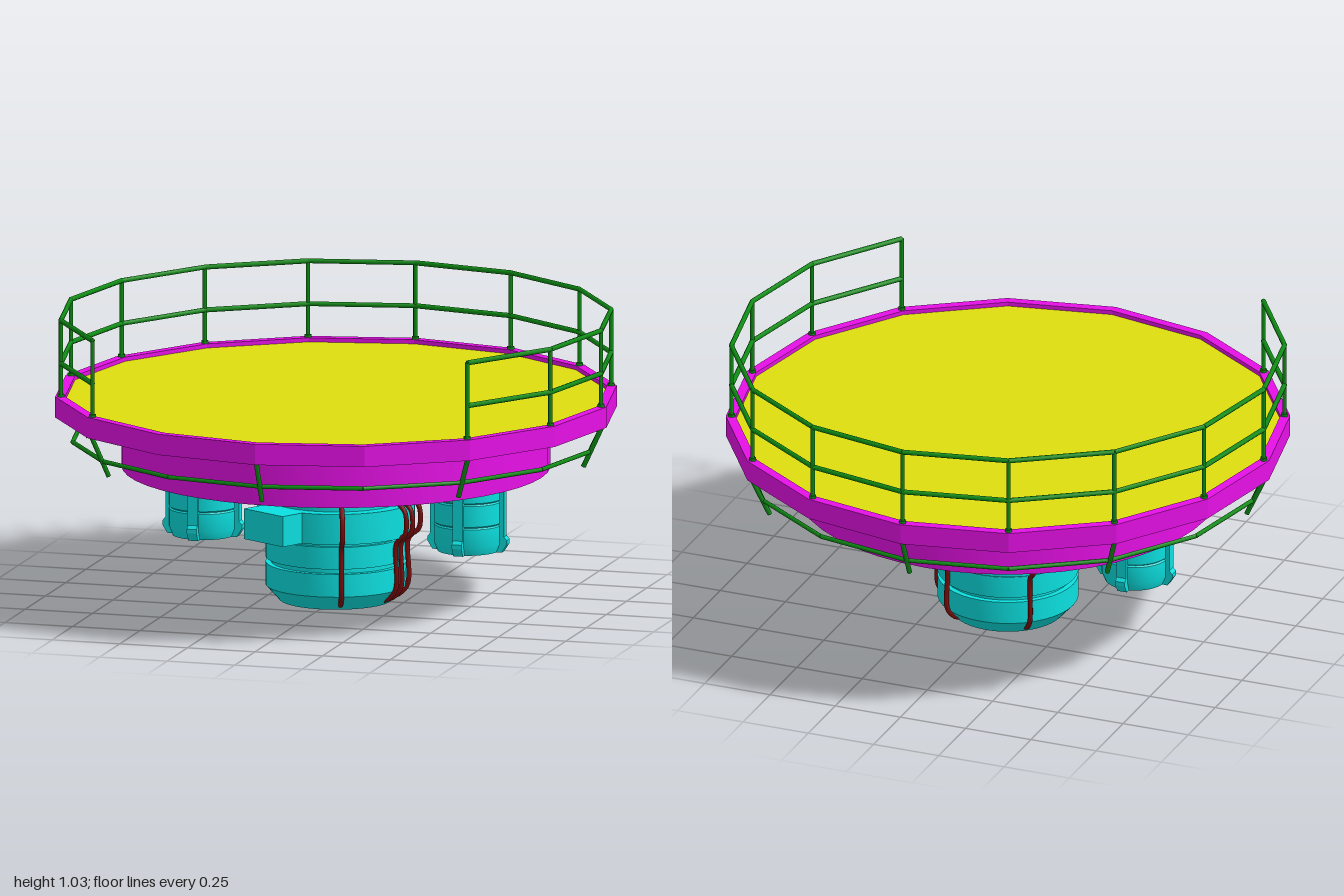
import * as THREE from 'three';
import { toCreasedNormals } from 'three/addons/utils/BufferGeometryUtils.js';

const paint = (color, flatShading = false) => new THREE.MeshStandardMaterial({ color, flatShading });
const MAGENTA = paint(0xe610e6), RIM = paint(0xe610e6, true), YELLOW = paint(0xdede10, true);
const GREEN = paint(0x0e8c14), CYAN = paint(0x0ce0e0), BROWN = paint(0x7c0c0c);
const SIDES = 16;

function add(parent, name, geometry, material) {
  const mesh = new THREE.Mesh(geometry, material);
  mesh.name = name;
  parent.add(mesh);
  return mesh;
}

// Revolved profile of [radius, height], listed upwards along the outside
function turned(profile, segments = 40) {
  const geo = new THREE.LatheGeometry(profile.map(([r, y]) => new THREE.Vector2(r, y)), segments);
  return toCreasedNormals(geo, 0.45);
}

// Point at an angle measured from +z towards +x
const polar = (angle, r, y) => new THREE.Vector3(Math.sin(angle) * r, y, Math.cos(angle) * r);
const corner = (i, r, y) => polar((i * Math.PI * 2) / SIDES, r, y);

// Straight pipe between two points
function bar(parent, name, a, b, radius) {
  const mesh = add(parent, name, new THREE.CylinderGeometry(radius, radius, a.distanceTo(b), 8), GREEN);
  mesh.position.copy(a).lerp(b, 0.5);
  mesh.quaternion.setFromUnitVectors(new THREE.Vector3(0, 1, 0), b.clone().sub(a).normalize());
}

function buildPlatform() {
  const g = new THREE.Group();
  g.name = 'platform';
  add(g, 'rim', turned([[0.965, 0.675], [1, 0.675], [1, 0.75], [0.965, 0.75], [0.965, 0.675]], SIDES), RIM);
  const deck = add(g, 'deck', new THREE.CylinderGeometry(0.968, 0.968, 0.045, SIDES), YELLOW);
  deck.position.y = 0.7125;
  // Drum below the deck, with a shallow recess in its underside
  add(g, 'drum', turned([[0, 0.492], [0.72, 0.492], [0.72, 0.48], [0.76, 0.48], [0.76, 0.665], [0, 0.665]], 48), MAGENTA);
  const core = add(g, 'drumCore', new THREE.CylinderGeometry(0.3, 0.3, 0.04, 32), MAGENTA);
  core.position.y = 0.68;
  return g;
}

function buildRailing() {
  const g = new THREE.Group();
  g.name = 'railing';
  // Guard rail, open at the front
  for (let i = 2; i <= 14; i++) {
    bar(g, 'railPost', corner(i, 0.98, 0.735), corner(i, 0.98, 1.025), 0.008);
    const foot = add(g, 'postFoot', new THREE.CylinderGeometry(0.013, 0.013, 0.015, 8), GREEN);
    foot.position.copy(corner(i, 0.98, 0.752));
    if (i === 14) continue;
    for (const y of [0.87, 1.025]) bar(g, 'rail', corner(i, 0.98, y), corner(i + 1, 0.98, y), 0.009);
  }
  // Slanted struts and the ring they carry below the rim
  for (let i = 0; i < SIDES; i++) {
    if (i % 2 === 0) bar(g, 'lowerStrut', corner(i, 0.985, 0.68), corner(i, 0.915, 0.53), 0.009);
    bar(g, 'lowerRail', corner(i, 0.938, 0.585), corner(i + 1, 0.938, 0.585), 0.008);
  }
  return g;
}

function buildHub() {
  const g = new THREE.Group();
  g.name = 'hub';
  add(g, 'hubBody', turned([
    [0, 0], [0.2, 0], [0.25, 0.055], [0.25, 0.137], [0.23, 0.137], [0.23, 0.155],
    [0.25, 0.155], [0.25, 0.235], [0.235, 0.235], [0.235, 0.25], [0.28, 0.25], [0.28, 0.36],
    [0.235, 0.36], [0.235, 0.377], [0.25, 0.377], [0.25, 0.49],
  ]), CYAN);
  // Box bolted to the band
  const angle = -0.52;
  const block = add(g, 'hubBlock', new THREE.BoxGeometry(0.2, 0.11, 0.11), CYAN);
  block.position.copy(polar(angle, 0.3, 0.305));
  block.rotation.y = angle;
  // Cables following the hub outline
  const path = [[0.2, 0.015], [0.225, 0.025], [0.258, 0.065], [0.258, 0.22], [0.27, 0.242],
    [0.298, 0.265], [0.298, 0.345], [0.27, 0.375], [0.258, 0.395], [0.258, 0.485]];
  for (const deg of [21, 72, 80, 97, 146, 220]) {
    const a = THREE.MathUtils.degToRad(deg);
    const curve = new THREE.CatmullRomCurve3(path.map(([r, y]) => polar(a, r, y)));
    add(g, 'cable', new THREE.TubeGeometry(curve, 40, 0.009, 8), BROWN);
  }
  return g;
}

function buildPod(x) {
  const g = new THREE.Group();
  g.name = x > 0 ? 'leftPod' : 'rightPod';
  g.position.x = x;
  // Housing with a blind opening underneath
  add(g, 'podBody', turned([
    [0, 0.25], [0.065, 0.25], [0.065, 0.205], [0.11, 0.205], [0.122, 0.235], [0.122, 0.3],
    [0.117, 0.305], [0.122, 0.31], [0.122, 0.385], [0.117, 0.39], [0.122, 0.395],
    [0.122, 0.445], [0.14, 0.46], [0.14, 0.49],
  ], 32), CYAN);
  // Four clamps down the sides
  const outline = new THREE.Shape([[0.09, 0.205], [0.128, 0.205], [0.147, 0.235], [0.147, 0.25],
    [0.136, 0.262], [0.136, 0.43], [0.155, 0.465], [0.155, 0.485], [0.09, 0.485],
  ].map(([r, y]) => new THREE.Vector2(r, y)));
  const clampGeo = new THREE.ExtrudeGeometry(outline, { depth: 0.036, bevelEnabled: false });
  clampGeo.translate(0, 0, -0.018);
  for (let i = 0; i < 4; i++) add(g, 'podClamp', clampGeo, CYAN).rotation.y = (i * Math.PI) / 2;
  return g;
}

export function createModel() {
  const model = new THREE.Group();
  model.name = 'observationPlatform';
  model.add(buildPlatform(), buildRailing(), buildHub(), buildPod(0.49), buildPod(-0.49));
  return model;
}
